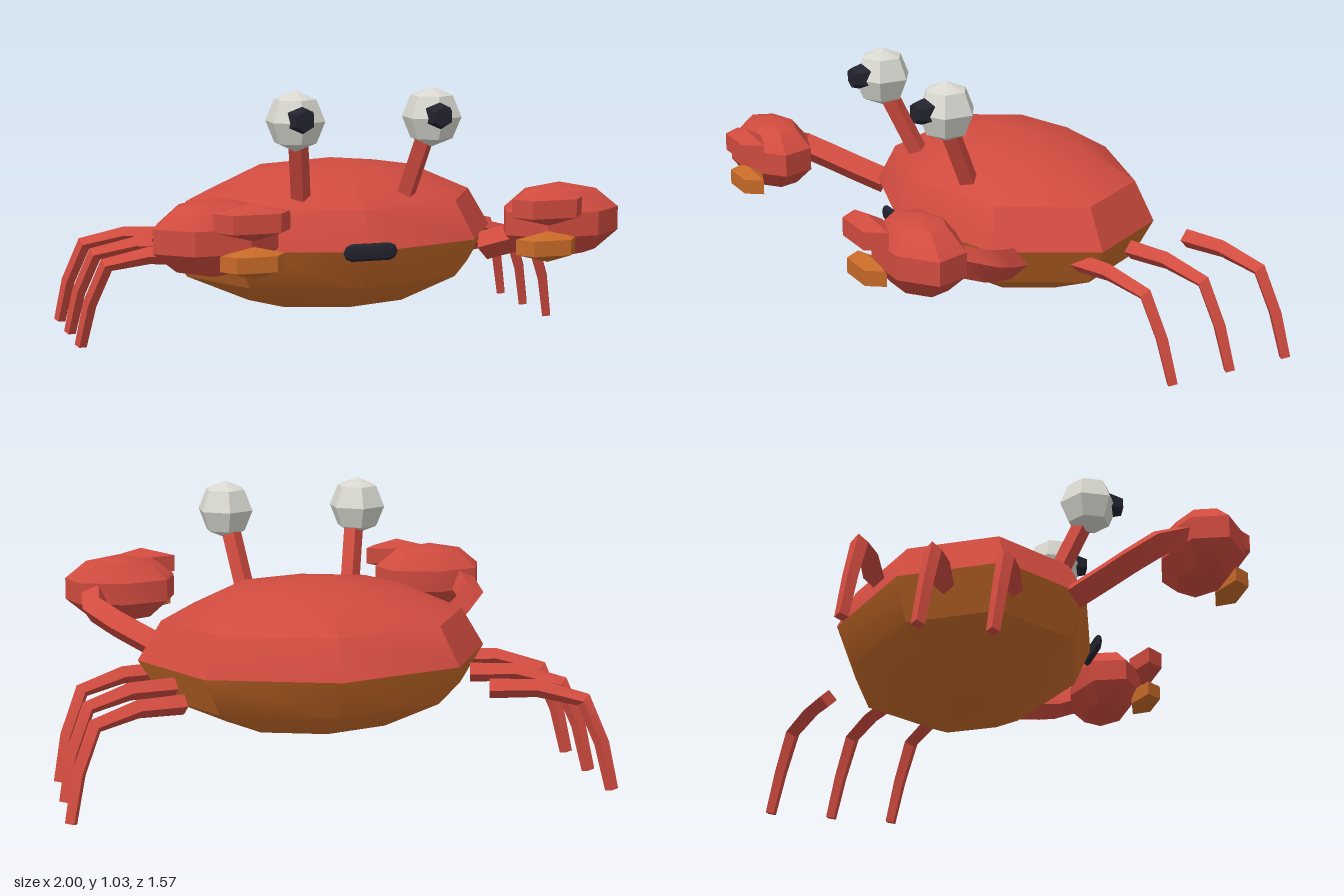
import * as THREE from 'three';
import { toCreasedNormals } from 'three/addons/utils/BufferGeometryUtils.js';

const CREASE = 0.61;

function material(name, color) {
  const m = new THREE.MeshStandardMaterial({ color });
  m.name = name;
  return m;
}

function part(name, geometry, mat, x = 0, y = 0, z = 0) {
  const mesh = new THREE.Mesh(toCreasedNormals(geometry, CREASE), mat);
  mesh.name = name;
  mesh.position.set(x, y, z);
  return mesh;
}

// Faceted ellipsoid; turn spins the facets before the stretch
function blob(sides, rows, rx, ry, rz, turn = 0) {
  return new THREE.SphereGeometry(1, sides, rows).rotateY(turn).scale(rx, ry, rz);
}

// Four-sided capped limb along a curve, tapering from r0 to r1
function limb(points, segments, r0, r1) {
  const curve = new THREE.CatmullRomCurve3(points.map(p => new THREE.Vector3(...p)));
  const geo = new THREE.TubeGeometry(curve, segments, r0, 4);
  const pos = geo.attributes.position;
  const v = new THREE.Vector3();
  for (let i = 0; i < pos.count; i++) {
    const t = Math.floor(i / 5) / segments;
    const centre = curve.getPointAt(t);
    v.fromBufferAttribute(pos, i).sub(centre);
    v.multiplyScalar(THREE.MathUtils.lerp(1, r1 / r0, t)).add(centre);
    pos.setXYZ(i, v.x, v.y, v.z);
  }
  const e = segments * 5;
  geo.setIndex([...geo.index.array,
    0, 1, 2, 0, 2, 3, e, e + 2, e + 1, e, e + 3, e + 2]);
  return geo;
}

export function createModel() {
  const red = material('shell red', 0xd04b3f);
  const orange = material('belly orange', 0xc76a28);
  const white = material('eye white', 0xd9d9d1);
  const dark = material('pupil dark', 0x23232f);

  const model = new THREE.Group();
  model.name = 'crab';

  // Body: two halves of one ellipsoid
  const half = start => new THREE.SphereGeometry(1, 8, 3, 0, Math.PI * 2, start, Math.PI / 2)
    .scale(0.67, 0.295, 0.495);
  model.add(part('upperShell', half(0), red, 0, 0.425, -0.155));
  model.add(part('belly', half(Math.PI / 2), orange, 0, 0.425, -0.155));

  // Mouth
  const mouth = new THREE.CapsuleGeometry(0.033, 0.145, 2, 8)
    .rotateZ(Math.PI / 2).scale(1, 1, 0.45);
  model.add(part('mouth', mouth, dark, 0, 0.428, 0.35));

  for (const side of [1, -1]) {
    const half = new THREE.Group();
    half.name = side > 0 ? 'leftLimbs' : 'rightLimbs';
    half.scale.x = side;
    model.add(half);

    // Eye on its stalk
    half.add(part('eyeStalk',
      limb([[0.21, 0.615, 0.15], [0.25, 0.85, 0.255]], 1, 0.038, 0.038), red));
    half.add(part('eyeball', blob(6, 4, 0.113, 0.113, 0.113, Math.PI / 2), white,
      0.265, 0.915, 0.27));
    half.add(part('pupil', new THREE.CylinderGeometry(0.038, 0.056, 0.06, 6)
      .rotateX(Math.PI / 2), dark, 0.265, 0.925, 0.37));

    // Claw arm, palm and two fingers
    half.add(part('clawArm', limb([[0.53, 0.39, 0.14], [0.66, 0.45, 0.265],
      [0.775, 0.51, 0.385], [0.765, 0.55, 0.5]], 4, 0.056, 0.056), red));
    half.add(part('clawPalm', blob(7, 5, 0.24, 0.14, 0.155, 0.224), red,
      0.65, 0.555, 0.58));
    half.add(part('upperFinger', blob(5, 3, 0.165, 0.066, 0.073, -Math.PI / 10), red,
      0.547, 0.625, 0.728));
    half.add(part('lowerFinger', blob(5, 3, 0.14, 0.056, 0.065, -Math.PI / 10), orange,
      0.545, 0.483, 0.725));

    // Three walking legs
    for (let i = 0; i < 3; i++) {
      half.add(part('leg' + (i + 1), limb([[0.56, 0.365, 0], [0.72, 0.37, -0.045],
        [0.88, 0.335, -0.1], [0.945, 0.18, -0.135], [0.98, 0.006, -0.165]], 4, 0.037, 0.024),
      red, 0, 0, -0.1 - 0.25 * i));
    }
  }
  return model;
}
